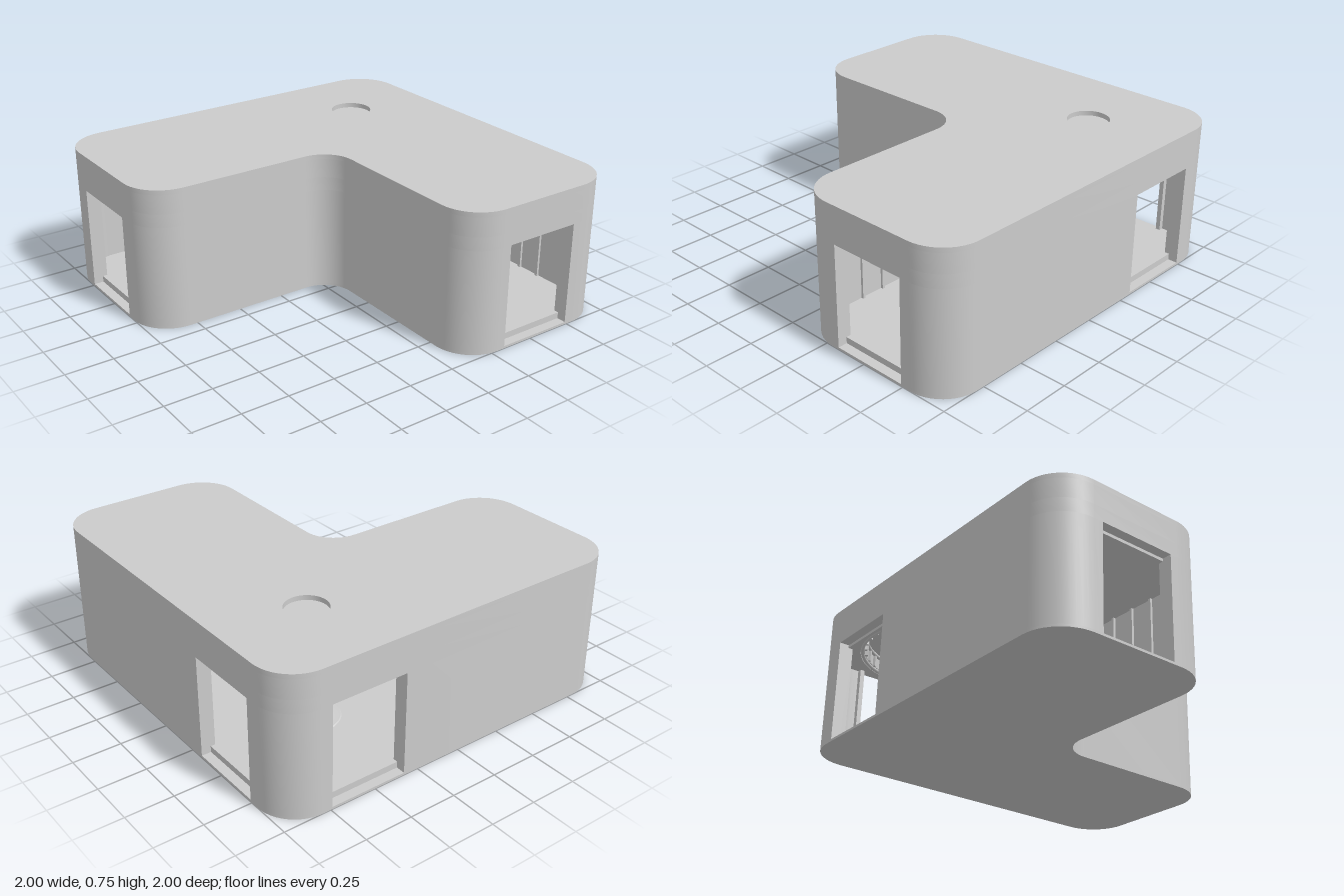
import * as THREE from 'three';
import { toCreasedNormals } from 'three/addons/utils/BufferGeometryUtils.js';

const grey = new THREE.MeshStandardMaterial({ color: 0xcccccc });
const V = (x, y) => new THREE.Vector2(x, y);
const T = 0.05; // wall thickness
const D0 = 0.33, D1 = 0.74, MID = 0.535; // doorway edges and room centre
const FLOOR = 0.045, CEILING = 0.535, LINTEL = 0.55, TOP = 0.745;

// Rounded corners of the L plan: centre, start angle, direction (-1 = concave)
const corners = [
  [0.79, -0.79, -90, 1], [0.79, 0.79, 0, 1], [-0.79, 0.79, 90, 1],
  [-0.79, 0.285, 180, 1], [-0.09, -0.09, 90, -1], [0.285, -0.79, 180, 1],
];

function cornerArc(i, inset) {
  const [cx, cy, start, dir] = corners[i];
  const r = dir > 0 ? 0.21 - inset : 0.165 + inset;
  return Array.from({ length: 13 }, (_, k) => {
    const a = THREE.MathUtils.degToRad(start + dir * k * 7.5);
    return V(cx + r * Math.cos(a), cy + r * Math.sin(a));
  });
}

const plan = (inset) => corners.flatMap((_, i) => cornerArc(i, inset));

function circleHole(r) {
  const path = new THREE.Path();
  path.absarc(MID, MID, r, 0, Math.PI * 2, true);
  return path;
}

function add(parent, name, geometry, x = 0, y = 0, z = 0) {
  const mesh = new THREE.Mesh(geometry, grey);
  mesh.name = name;
  mesh.position.set(x, y, z);
  parent.add(mesh);
  return mesh;
}

// Plan outline raised between two heights
function slab(parent, name, points, y0, y1, holeRadius) {
  const shape = new THREE.Shape(points);
  if (holeRadius) shape.holes.push(circleHole(holeRadius));
  const geo = new THREE.ExtrudeGeometry(shape, { depth: y1 - y0, bevelEnabled: false, curveSegments: 24 });
  geo.rotateX(-Math.PI / 2);
  return add(parent, name, toCreasedNormals(geo, 0.5), 0, y0, 0);
}

const lathe = (pts) => toCreasedNormals(new THREE.LatheGeometry(pts.map(([r, y]) => V(r, y)), 40), 0.6);

function rod(parent, name, a, b, r) {
  const dir = b.clone().sub(a);
  const mesh = add(parent, name, new THREE.CylinderGeometry(r, r, dir.length(), 12));
  mesh.position.copy(a).addScaledVector(dir, 0.5);
  mesh.quaternion.setFromUnitVectors(new THREE.Vector3(0, 1, 0), dir.normalize());
}

function buildShell(root) {
  const shell = new THREE.Group();
  shell.name = 'buildingShell';
  root.add(shell);
  slab(shell, 'basePlate', plan(0), 0, 0.012);
  slab(shell, 'floor', plan(T), 0.012, FLOOR);
  slab(shell, 'ceiling', plan(T), CEILING, LINTEL, 0.4);
  slab(shell, 'lightWell', plan(0), LINTEL, 0.62, 0.38);
  slab(shell, 'roof', plan(0), 0.62, 0.72);
  slab(shell, 'roofTop', plan(0), 0.72, TOP, 0.108);

  // Wall runs between the four doorways: start, corners passed, end
  const runs = [
    [(t) => V(D1, -1 + t), [0], (t) => V(1 - t, D0)],
    [(t) => V(1 - t, D1), [1], (t) => V(D1, 1 - t)],
    [(t) => V(D0, 1 - t), [2], (t) => V(-1 + t, D1)],
    [(t) => V(-1 + t, D0), [3, 4, 5], (t) => V(D0, -1 + t)],
  ];
  for (const [start, ids, end] of runs) {
    const side = (t) => [start(t), ...ids.flatMap((i) => cornerArc(i, t)), end(t)];
    slab(shell, 'wall', [...side(0), ...side(T).reverse()], 0.012, LINTEL);
  }

  // Upright ribs along the inner walls
  const h = CEILING - FLOOR, y = FLOOR + h / 2;
  for (let i = 0; i < 6; i++) {
    const s = 0.14 + i * 0.13;
    add(shell, 'wallRib', new THREE.BoxGeometry(0.015, h, 0.015), 0.13, y, s);
    add(shell, 'wallRib', new THREE.BoxGeometry(0.015, h, 0.015), 0.945, y, s - 0.2);
    add(shell, 'wallRib', new THREE.BoxGeometry(0.015, h, 0.015), -s, y, -0.13);
    add(shell, 'wallRib', new THREE.BoxGeometry(0.015, h, 0.015), 0.2 - s, y, -0.945);
  }

  // Jambs just inside each doorway
  for (const side of [D0 - 0.012, D1 + 0.012]) {
    for (const e of [-0.94, 0.94]) {
      add(shell, 'doorJamb', new THREE.BoxGeometry(0.024, h, 0.03), side, y, e);
      add(shell, 'doorJamb', new THREE.BoxGeometry(0.03, h, 0.024), e, y, -side);
    }
  }
}

function buildCeilingLight(root) {
  const light = new THREE.Group();
  light.name = 'ceilingLight';
  light.position.set(MID, 0, -MID);
  root.add(light);
  for (const [r, y] of [[0.39, 0.542], [0.372, 0.612]]) {
    const ring = add(light, 'lightRing', new THREE.TorusGeometry(r, 0.01, 8, 64), 0, y, 0);
    ring.rotation.x = Math.PI / 2;
  }
  for (let i = 0; i < 36; i++) {
    const a = (i / 36) * Math.PI * 2;
    const slat = add(light, 'lightSlat', new THREE.BoxGeometry(0.016, 0.07, 0.014),
      0.374 * Math.cos(a), 0.58, 0.374 * Math.sin(a));
    slat.rotation.y = -a;
  }
}

function buildTable(root) {
  const table = new THREE.Group();
  table.name = 'roundTable';
  table.position.set(MID, FLOOR, -MID);
  root.add(table);
  add(table, 'pedestal', lathe([[0, 0], [0.08, 0], [0.08, 0.01], [0.062, 0.018], [0.054, 0.05],
    [0.049, 0.085], [0.058, 0.105], [0.08, 0.115], [0, 0.115]]));
  add(table, 'tableTop', lathe([[0, 0.112], [0.08, 0.112], [0.154, 0.117], [0.159, 0.121],
    [0.154, 0.125], [0.075, 0.127], [0.06, 0.133], [0, 0.135]]));
}

function buildArm(root) {
  const arm = new THREE.Group();
  arm.name = 'jointedArm';
  arm.position.set(0.41, FLOOR, 0.5);
  root.add(arm);
  add(arm, 'armBase', new THREE.CylinderGeometry(0.018, 0.02, 0.02, 24), 0, 0.01, 0);
  const joints = [[0, 0.01], [0, 0.135], [0.03, 0.205], [0.075, 0.15], [0.095, 0.13]]
    .map(([x, y]) => new THREE.Vector3(x, y, 0));
  joints.slice(1).forEach((p, i) => {
    rod(arm, 'armSegment', joints[i], p, 0.006);
    add(arm, 'armJoint', new THREE.SphereGeometry(0.01, 12, 8), p.x, p.y, p.z);
  });
}

export function createModel() {
  const root = new THREE.Group();
  root.name = 'cornerBuilding';
  buildShell(root);
  buildCeilingLight(root);
  buildTable(root);
  buildArm(root);
  // Floor-to-ceiling column in the side wing
  add(root, 'column', new THREE.CylinderGeometry(0.1, 0.1, CEILING - FLOOR, 32),
    -MID, (CEILING + FLOOR) / 2, -0.466);
  return root;
}
